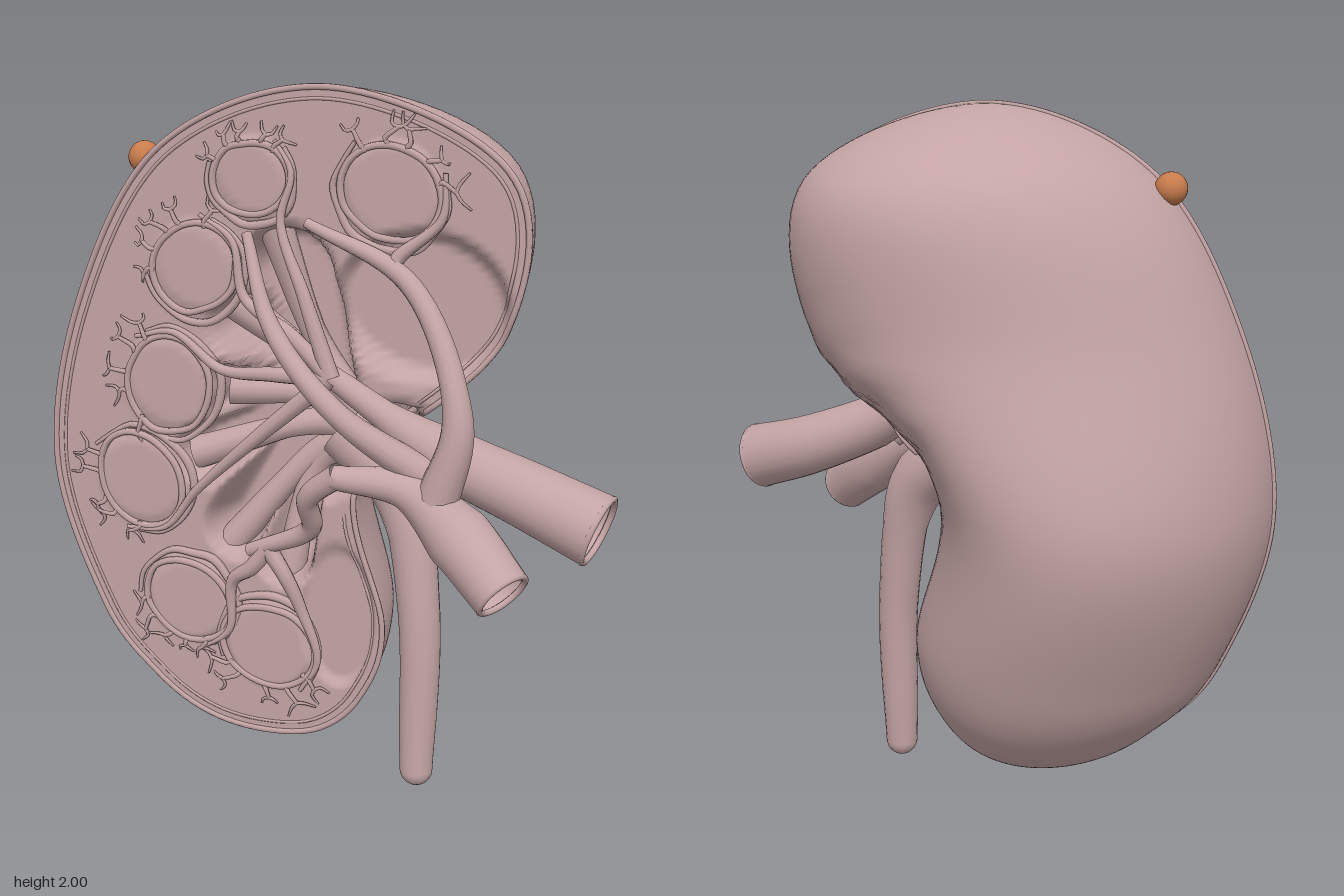
import * as THREE from 'three';

const { lerp, smoothstep, clamp } = THREE.MathUtils;
const flesh = new THREE.MeshStandardMaterial({ color: 0xc4a4a4, side: THREE.DoubleSide });
const orange = new THREE.MeshStandardMaterial({ color: 0xc87c4c });
const V = (p) => new THREE.Vector3(...p);

// Bean outline: left edge top to bottom, then right edge back up. The third number is
// the depth behind the cut plane, negative on the return so that it runs smoothly through 0.
const outline = new THREE.CatmullRomCurve3([
  [0.03, 1.99, 0], [-0.45, 1.82, 0.48], [-0.72, 1.38, 0.56], [-0.825, 0.88, 0.61],
  [-0.69, 0.43, 0.51], [-0.53, 0.23, 0.39], [-0.37, 0.125, 0.22], [-0.19, 0.095, 0],
  [-0.01, 0.13, -0.22], [0.12, 0.26, -0.39], [0.185, 0.49, -0.51], [0.11, 0.93, -0.61],
  [0.5, 1.36, -0.56], [0.515, 1.79, -0.48],
].map(V), true, 'catmullrom', 0.5);

// Medullary pyramids: x, y, radius
const pyramids = [
  [-0.19, 1.745, 0.1], [0.2, 1.73, 0.125], [-0.36, 1.49, 0.12], [-0.45, 1.15, 0.13],
  [-0.55, 0.85, 0.13], [-0.41, 0.49, 0.125], [-0.16, 0.38, 0.13],
];
// Sinus cavity as capsules (ax, ay, bx, by, radius): hilum, trunk, and an arm to each left pyramid
const hub = [-0.05, 1.1];
const sinus = [[0.22, 1.06, 0, 1.05, 0.08], [0, 1, -0.1, 1.48, 0.12]];
for (const [px, py] of pyramids) if (px < 0) sinus.push([...hub, lerp(hub[0], px, 0.6), lerp(hub[1], py, 0.6), 0.07]);
// Shallow smooth bowls of the two lobes: x, y, rx, ry, depth
const bowls = [[0.28, 1.43, 0.24, 0.2, 0.05], [0.05, 0.5, 0.11, 0.22, 0.02]];

function segmentDistance(x, y, [ax, ay, bx, by]) {
  const dx = bx - ax, dy = by - ay;
  const t = clamp(((x - ax) * dx + (y - ay) * dy) / (dx * dx + dy * dy), 0, 1);
  return Math.hypot(x - ax - t * dx, y - ay - t * dy);
}

// Height of the cut face
function faceZ(x, y) {
  let z = 0.14, cavity = 0, mound = 0;
  for (const s of sinus) cavity = Math.max(cavity, 1 - smoothstep(segmentDistance(x, y, s) - s[4], -0.03, 0.03));
  for (const [px, py, r] of pyramids) mound = Math.max(mound, 1 - smoothstep(Math.hypot(x - px, y - py), r * 0.9, r * 1.15));
  for (const [bx, by, rx, ry, d] of bowls) z -= d * (1 - smoothstep(Math.hypot((x - bx) / rx, (y - by) / ry), 0.88, 1.05)) * (1 - cavity);
  return z - 0.16 * cavity * (1 - mound) + 0.014 * mound;
}

// Surface through a grid of points fn(u, s)
function loft(rows, cols, fn, flip) {
  const pos = [], idx = [];
  for (let i = 0; i <= rows; i++) for (let j = 0; j <= cols; j++) pos.push(...fn(i / rows, j / cols));
  for (let i = 0; i < rows; i++) for (let j = 0; j < cols; j++) {
    const a = i * (cols + 1) + j, b = a + cols + 1;
    idx.push(...(flip ? [a, a + 1, b, b, a + 1, b + 1] : [a, b, a + 1, b, b + 1, a + 1]));
  }
  const g = new THREE.BufferGeometry();
  g.setAttribute('position', new THREE.Float32BufferAttribute(pos, 3));
  g.setIndex(idx);
  g.computeVertexNormals();
  return g;
}

const edges = (u) => [outline.getPoint(u / 2), outline.getPoint((1 - u / 2) % 1)];

// Rounded back: half ellipses across the bean, fuller to the right, with a creased dent at the hilum
function shellPoint(u, s) {
  const [L, R] = edges(u), a = s * Math.PI, k = (1 - Math.cos(a)) / 2, w = Math.sin(a);
  const x = lerp(L.x, R.x, k), y = lerp(L.y, R.y, k);
  const z = Math.min(0.14 - Math.abs(L.z) * w * (0.9 + 0.2 * k), faceZ(x, y));
  const g = w * Math.exp(-((y - 1.06) ** 2) / 0.03 - ((x - 0.2) ** 2) / 0.04);
  const crease = 0.012 * w * Math.exp(-((y - 1.15) ** 2) / 0.04 - ((x - 0.3) ** 2) / 0.04) * Math.sin(y * 50 + z * 30);
  return [x - 0.09 * g - crease, y, z + 0.03 * g + crease];
}

function facePoint(u, s) {
  const [L, R] = edges(u), x = lerp(L.x, R.x, s), y = lerp(L.y, R.y, s);
  return [x, y, faceZ(x, y)];
}

// Tube along points whose radius runs through a list of values
function vessel(points, radii, n = 24, sides = 8, closed = false) {
  const curve = new THREE.CatmullRomCurve3(points.map(V), closed);
  const g = new THREE.TubeGeometry(curve, n, 1, sides, closed), p = g.attributes.position;
  const v = new THREE.Vector3();
  for (let i = 0; i <= n; i++) {
    const c = curve.getPointAt(i / n), f = (i / n) * (radii.length - 1), k = Math.floor(f);
    const r = lerp(radii[k], radii[k + 1] ?? radii[k], f - k);
    for (let j = 0; j <= sides; j++) {
      const q = i * (sides + 1) + j;
      v.fromBufferAttribute(p, q).sub(c).multiplyScalar(r).add(c);
      p.setXYZ(q, v.x, v.y, v.z);
    }
  }
  return g;
}

export function createModel() {
  const model = new THREE.Group();
  const add = (name, geometry, parent = model, material = flesh) => {
    const m = new THREE.Mesh(geometry, material);
    m.name = name;
    parent.add(m);
    return m;
  };
  const group = (name) => {
    const g = new THREE.Group();
    g.name = name;
    model.add(g);
    return g;
  };

  add('outerShell', loft(90, 60, shellPoint, true));
  add('cutFace', loft(170, 120, facePoint, false));

  // Capsule lip and the fine line inside it
  for (const [name, inset, r] of [['capsuleLip', 0, 0.009], ['cortexLine', 0.03, 0.005]]) {
    const path = [];
    for (let i = 0; i < 90; i++) {
      const p = outline.getPoint(i / 90), t = outline.getTangent(i / 90).setZ(0).normalize();
      const x = p.x - t.y * inset, y = p.y + t.x * inset;
      path.push([x, y, faceZ(x, y)]);
    }
    add(name, vessel(path, [r], 180, 6, true));
  }

  const borders = group('pyramidBorders'), twigs = group('corticalVessels');
  const pelvis = group('pelvis'), branches = group('branchVessels');
  let seed = 7;
  const rand = () => (seed = (seed * 16807) % 2147483647) / 2147483647;
  for (const [px, py, r] of pyramids) {
    const out = Math.atan2(py - hub[1], px - hub[0]);
    const at = (a, d, z) => [px + Math.cos(a) * d, py + Math.sin(a) * d, z];

    // Raised border and the sheath on the side facing the sinus
    const ring = [], sheath = [];
    for (let i = 0; i < 14; i++) {
      const a = (i / 14) * Math.PI * 2;
      ring.push(at(out + a, r * (1.03 - 0.08 * Math.cos(2 * a) + 0.06 * (rand() - 0.5)), 0.152));
    }
    for (let i = -5; i <= 5; i++) sheath.push(at(out + Math.PI + i * 0.42, r * (1.2 + 0.1 * rand()), 0.148));
    add('pyramidBorder', vessel(ring, [0.01], 48, 6, true), borders);
    add('pyramidSheath', vessel(sheath, [0.006, 0.013, 0.006], 36, 6), borders);

    // Forked twigs fanning out into the cortex
    for (let k = -2; k <= 2; k++) {
      const a = out + k * 0.5 + 0.2 * (rand() - 0.5), d = r * (1.22 + 0.3 * rand()), b = a + 0.3 * (rand() - 0.5);
      const fork = at(b, d, 0.154);
      add('twig', vessel([at(a, r, 0.152), at(a + 0.2 * (rand() - 0.5), r * 1.12, 0.156), fork], [0.008, 0.006], 6, 5), twigs);
      for (const side of [-1, 1]) {
        const tip = at(b + side * (0.08 + 0.16 * rand()), d + r * (0.1 + 0.25 * rand()), 0.146);
        add('twigTip', vessel([fork, at(b + side * 0.1, d + r * 0.07, 0.152), tip], [0.006, 0.003], 5, 5), twigs);
      }
    }

    // Calyx at the bottom of the sinus, reaching from the pelvis to the pyramid
    if (px < 0) add('calyx', vessel([[0.12, 1.03, 0.02], [hub[0], lerp(hub[1], py, 0.25), 0], at(out + Math.PI, r * 1.2, 0.06)], [0.05, 0.035, 0.05], 20, 12), pelvis);

    // Vessel that leaves a trunk and runs round one flank of the pyramid
    const root = px > 0 ? [0.3, 1.47, 0.19] : py > 0.6 ? [0.06, 1.24, 0.22] : [-0.14, 0.71, 0.19];
    const side = py > 1.1 ? -1 : 1;
    const gate = at(out + Math.PI - side * 0.5, r * 1.4, 0.17);
    const mid = root.map((c, i) => lerp(c, gate[i], 0.5) + (i < 2 ? 0.04 * (rand() - 0.5) : 0.01));
    add('branch', vessel([root, mid, gate, at(out + side * 1.6, r * 1.2, 0.157), at(out + side * 0.8, r * 1.25, 0.15)],
      [0.026, 0.022, 0.016, 0.011, 0.006], 36, 8), branches);
  }

  // Main branches between the trunks and the sinus
  add('upperBranch', vessel([[0.38, 0.95, 0.31], [0.43, 1.18, 0.29], [0.27, 1.5, 0.19], [-0.03, 1.64, 0.16]], [0.06, 0.036, 0.028, 0.014], 40, 12), branches);
  add('middleBranch', vessel([[0.36, 1.0, 0.26], [0.1, 1.18, 0.31], [-0.1, 1.38, 0.25], [-0.2, 1.6, 0.16]], [0.05, 0.032, 0.026, 0.014], 40, 12), branches);
  add('lowerBranch', vessel([[0.12, 1.01, 0.32], [0.02, 0.92, 0.29], [0, 0.8, 0.22], [-0.2, 0.69, 0.18]], [0.034, 0.03, 0.028, 0.02], 40, 12), branches);

  // Ureter with a rounded lower end
  add('ureter', vessel([[0.04, 1.03, 0.02], [0.2, 0.9, 0.06], [0.28, 0.55, 0.1], [0.29, 0.05, 0.13]],
    [0.09, 0.088, 0.066, 0.061, 0.058, 0.055, 0.048], 60, 18));
  add('ureterTip', new THREE.SphereGeometry(0.048, 18, 12)).position.set(0.29, 0.05, 0.13);

  // Two open trunks
  const trunk = (name, points, radii) => {
    const g = group(name), end = V(points.at(-1)), r = radii.at(-1);
    add('trunk', vessel(points, radii, 40, 20), g);
    const rim = add('openRim', new THREE.TorusGeometry(r - 0.008, 0.009, 8, 28), g);
    const dir = new THREE.CatmullRomCurve3(points.map(V)).getTangent(1);
    rim.position.copy(end);
    rim.lookAt(end.clone().add(dir));
    const plug = add('lumenFloor', new THREE.CircleGeometry(r - 0.01, 20), g);
    plug.position.copy(end).addScaledVector(dir, -0.08);
    plug.quaternion.copy(rim.quaternion);
  };
  trunk('vein', [[0.02, 1.26, 0.2], [0.34, 1.07, 0.2], [0.6, 0.96, 0.18], [0.79, 0.9, 0.21]], [0.028, 0.04, 0.08, 0.09, 0.1]);
  trunk('artery', [[0.1, 1, 0.32], [0.3, 0.98, 0.3], [0.45, 0.88, 0.33], [0.59, 0.775, 0.41]], [0.032, 0.05, 0.09, 0.08]);

  // Marker bead on the rim
  add('markerBead', new THREE.SphereGeometry(0.045, 24, 16), model, orange).position.set(-0.52, 1.775, 0.1);
  return model;
}
